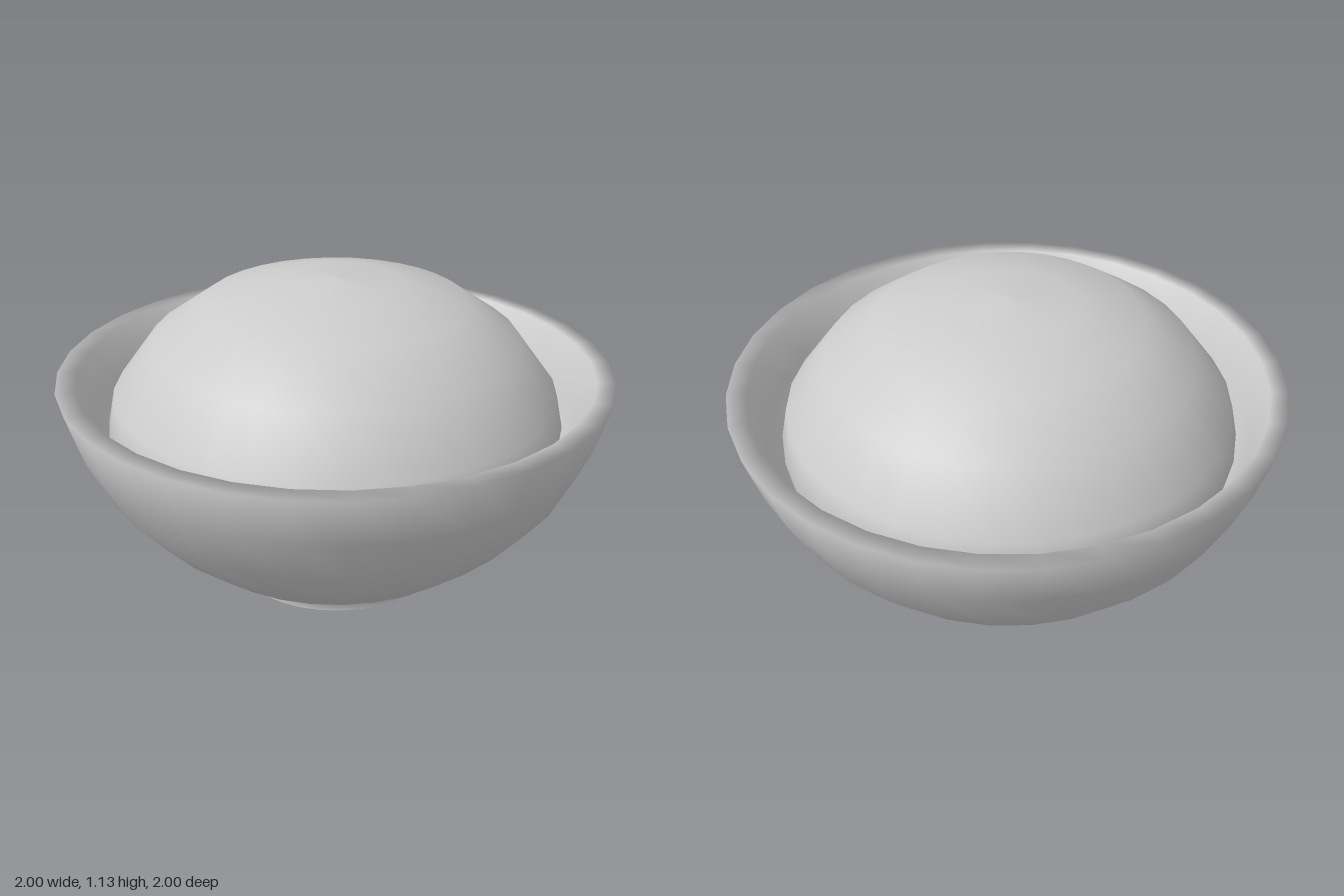
import * as THREE from 'three';

const SEGMENTS = 32;

// Revolve a profile of [radius, height] pairs around the y axis
function revolve(name, profile) {
  const points = profile.map(([r, y]) => new THREE.Vector2(r, y));
  const material = new THREE.MeshStandardMaterial({ color: 0xcccccc, side: THREE.DoubleSide });
  const mesh = new THREE.Mesh(new THREE.LatheGeometry(points, SEGMENTS), material);
  mesh.name = name;
  return mesh;
}

export function createModel() {
  const model = new THREE.Group();
  model.name = 'filledBowl';

  // Bowl: hollow foot ring, outer wall, rim, inner wall and floor
  model.add(revolve('bowl', [
    [0.39, 0], [0.39, 0.05],
    [0.57, 0.145], [0.72, 0.27], [0.85, 0.42], [0.94, 0.6], [1, 0.79],
    [0.93, 0.79],
    [0.88, 0.62], [0.79, 0.45], [0.67, 0.31], [0.53, 0.19], [0.37, 0.09], [0, 0.07],
  ]));

  // Filling: rounded mound resting inside the bowl
  const filling = revolve('filling', [
    [0.8, 0.46], [0.825, 0.6], [0.8, 0.72],
    [0.66, 0.91], [0.47, 1.045], [0.24, 1.11], [0, 1.13],
  ]);
  filling.position.z = -0.008;
  model.add(filling);

  return model;
}
